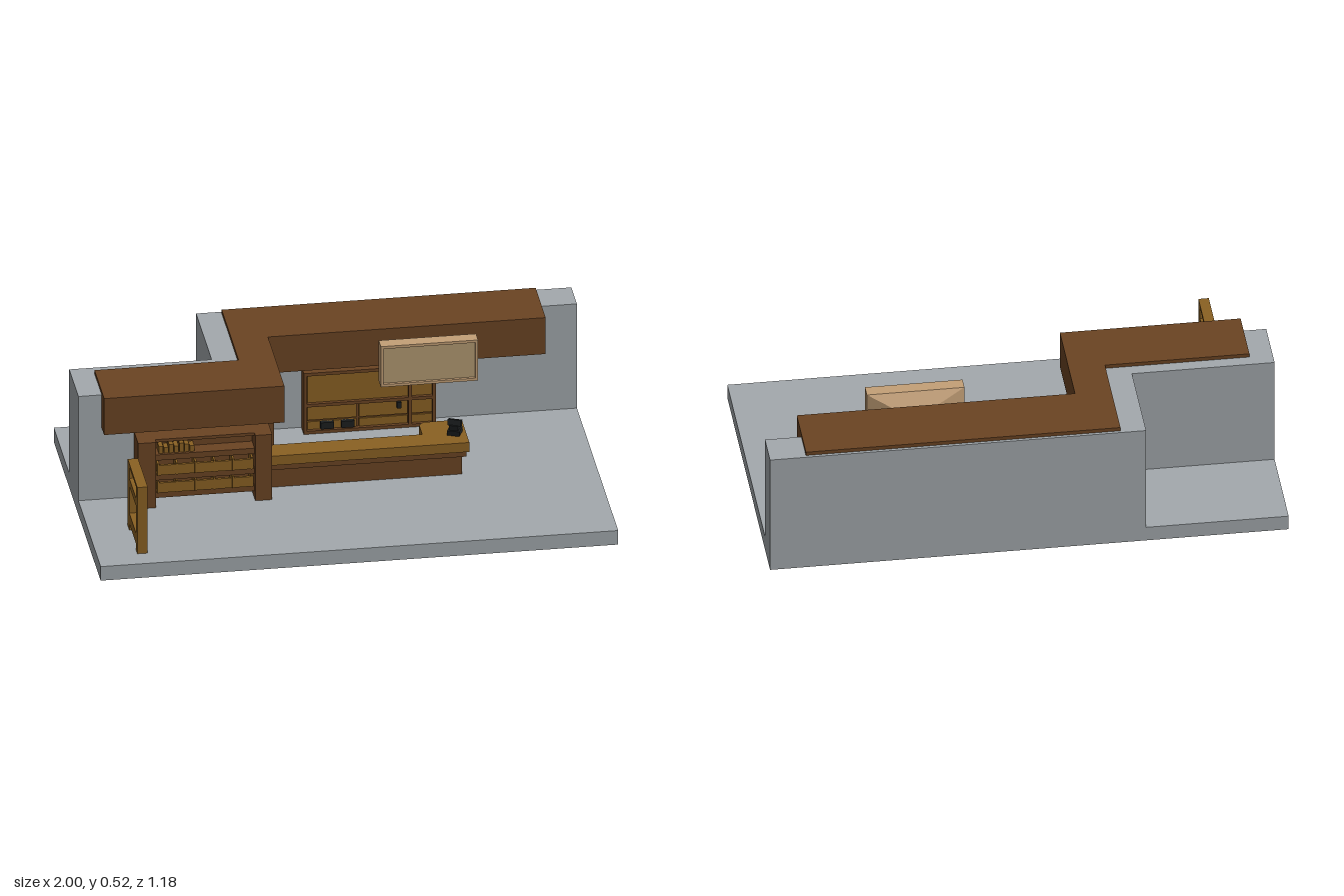
import * as THREE from 'three';

const mat = (name, color) => new THREE.MeshStandardMaterial({ name, color });

export function createModel() {
  const stone = mat('stone grey', 0xa3a9ad);
  const brown = mat('dark wood', 0x6b4423);
  const gold = mat('golden wood', 0x8b6123);
  const tan = mat('pale wood', 0xc4a077);
  const panelTan = mat('sign panel', 0xb39a72);
  const black = mat('black metal', 0x1c1f20);

  const model = new THREE.Group();
  model.name = 'shopInterior';
  const group = (name) => {
    const g = new THREE.Group();
    g.name = name;
    model.add(g);
    return g;
  };
  // Box given by its limits on each axis
  const box = (parent, name, m, x0, x1, y0, y1, z0, z1) => {
    const mesh = new THREE.Mesh(new THREE.BoxGeometry(x1 - x0, y1 - y0, z1 - z0), m);
    mesh.position.set((x0 + x1) / 2, (y0 + y1) / 2, (z0 + z1) / 2);
    mesh.name = name;
    parent.add(mesh);
    return mesh;
  };
  // Slab with a plan outline of [x, z] points
  const slab = (parent, name, m, plan, y0, y1) => {
    const shape = new THREE.Shape(plan.map(([x, z]) => new THREE.Vector2(x, -z)));
    const geo = new THREE.ExtrudeGeometry(shape, { depth: y1 - y0, bevelEnabled: false });
    geo.rotateX(-Math.PI / 2).translate(0, y0, 0);
    const mesh = new THREE.Mesh(geo, m);
    mesh.name = name;
    parent.add(mesh);
  };
  // Tapered block along z between two rectangles [x0, x1, y0, y1]
  const taper = (parent, name, m, front, zf, back, zb) => {
    const geo = new THREE.BoxGeometry(1, 1, 1).toNonIndexed();
    const p = geo.attributes.position;
    for (let i = 0; i < p.count; i++) {
      const isFront = p.getZ(i) > 0;
      const r = isFront ? front : back;
      p.setXYZ(i, p.getX(i) < 0 ? r[0] : r[1], p.getY(i) < 0 ? r[2] : r[3], isFront ? zf : zb);
    }
    geo.computeVertexNormals();
    const mesh = new THREE.Mesh(geo, m);
    mesh.name = name;
    parent.add(mesh);
  };

  // Floor and stepped wall
  const room = group('room');
  box(room, 'floor', stone, -1, 1, 0, 0.06, -0.59, 0.59);
  slab(room, 'wall', stone, [[-1, 0.03], [-0.29, 0.03], [-0.29, -0.45], [1, -0.45],
    [1, -0.59], [-0.45, -0.59], [-0.45, -0.2], [-1, -0.2]], 0.06, 0.507);

  // Stepped overhead beam
  slab(model, 'overheadBeam', brown, [[-0.91, 0.092], [-0.213, 0.092], [-0.213, -0.325], [0.86, -0.325],
    [0.86, -0.578], [-0.353, -0.578], [-0.353, -0.15], [-0.91, -0.15]], 0.366, 0.522);

  // Shelf unit
  const shelf = group('shelfUnit');
  box(shelf, 'leftColumn', brown, -0.785, -0.715, 0.06, 0.34, 0.035, 0.133);
  box(shelf, 'rightColumn', brown, -0.332, -0.267, 0.06, 0.34, 0.035, 0.133);
  box(shelf, 'backPanel', brown, -0.715, -0.332, 0.09, 0.34, 0.035, 0.05);
  box(shelf, 'topBoard', brown, -0.715, -0.332, 0.328, 0.34, 0.035, 0.11);
  for (const y of [0.09, 0.165, 0.25]) box(shelf, 'board', brown, -0.715, -0.332, y, y + 0.024, 0.05, 0.11);
  for (const y of [0.115, 0.19]) {
    box(shelf, 'crateFloor', gold, -0.71, -0.337, y, y + 0.008, 0.05, 0.118);
    box(shelf, 'crateFront', gold, -0.71, -0.337, y, y + 0.042, 0.108, 0.118);
    for (let i = 0; i < 6; i++) {
      const x = -0.709 + i * 0.0725;
      box(shelf, 'crateDivider', gold, x, x + 0.008, y, y + 0.05, 0.05, 0.121);
    }
  }
  // Goods on the upper board
  [0.03, 0.024, 0.036, 0.028, 0.038, 0.033, 0.025].forEach((h, i) => {
    const x = -0.7 + i * 0.02;
    box(shelf, 'goods', gold, x, x + 0.017, 0.274, 0.274 + h, 0.06, 0.1);
  });

  // Door on the side wall
  const door = group('door');
  box(door, 'doorLeaf', gold, -0.29, -0.25, 0.06, 0.285, -0.278, -0.075);
  box(door, 'frontPost', brown, -0.29, -0.23, 0.06, 0.305, -0.077, -0.063);
  box(door, 'backPost', brown, -0.29, -0.23, 0.06, 0.305, -0.292, -0.277);
  box(door, 'lintel', brown, -0.29, -0.23, 0.283, 0.305, -0.277, -0.077);

  // L-shaped counter
  const counter = group('counter');
  slab(counter, 'base', brown, [[-0.29, 0.03], [0.482, 0.03], [0.482, -0.117],
    [0.37, -0.117], [0.37, -0.025], [-0.29, -0.025]], 0.06, 0.142);
  slab(counter, 'trim', brown, [[-0.29, 0.043], [0.498, 0.043], [0.498, -0.13],
    [0.35, -0.13], [0.35, -0.038], [-0.29, -0.038]], 0.14, 0.165);
  slab(counter, 'top', gold, [[-0.29, 0.05], [0.508, 0.05], [0.508, -0.132], [0.485, -0.145],
    [0.36, -0.145], [0.34, -0.125], [0.34, -0.045], [-0.29, -0.045]], 0.163, 0.203);

  // Till
  const till = group('till');
  box(till, 'tillBase', black, -0.024, 0.024, 0, 0.02, -0.026, 0.026);
  box(till, 'tillBody', black, -0.018, 0.018, 0.02, 0.04, -0.02, 0.02);
  box(till, 'tillScreen', black, -0.026, 0.026, 0.034, 0.058, -0.01, 0.012).rotation.x = -0.3;
  till.position.set(0.465, 0.203, -0.037);
  till.rotation.y = -0.4;

  // Back cabinet
  const cabinet = group('backCabinet');
  box(cabinet, 'carcass', brown, -0.06, 0.44, 0.06, 0.315, -0.45, -0.405);
  for (const x of [-0.065, 0.34, 0.433]) box(cabinet, 'post', brown, x, x + 0.013, 0.06, 0.32, -0.45, -0.388);
  for (const y of [0.06, 0.175, 0.308]) box(cabinet, 'rail', brown, -0.065, 0.446, y, y + 0.013, -0.45, -0.388);
  for (const [x0, x1] of [[-0.05, 0.34], [0.355, 0.432]]) {
    box(cabinet, 'upperPanel', gold, x0, x1, 0.19, 0.307, -0.406, -0.398);
  }
  for (const [x0, x1] of [[-0.05, 0.14], [0.15, 0.338], [0.355, 0.432]]) {
    box(cabinet, 'lowerPanel', gold, x0, x1, 0.115, 0.173, -0.406, -0.398);
    box(cabinet, 'bottomPanel', gold, x0, x1, 0.075, 0.108, -0.406, -0.398);
  }
  for (const x of [0, 0.08]) box(cabinet, 'handle', black, x, x + 0.05, 0.08, 0.108, -0.4, -0.382);
  box(cabinet, 'latch', black, 0.295, 0.312, 0.145, 0.17, -0.4, -0.386);

  // Hanging sign with tapered back and bracket
  const sign = group('hangingSign');
  box(sign, 'signBody', tan, 0.21, 0.565, 0.362, 0.515, -0.228, -0.188);
  box(sign, 'signPanel', panelTan, 0.21, 0.565, 0.362, 0.515, -0.188, -0.184);
  for (const x of [0.2, 0.565]) box(sign, 'sideFrame', tan, x, x + 0.011, 0.35, 0.524, -0.228, -0.175);
  for (const y of [0.35, 0.513]) box(sign, 'endFrame', tan, 0.211, 0.565, y, y + 0.011, -0.228, -0.175);
  taper(sign, 'taperedBack', tan, [0.2, 0.576, 0.35, 0.524], -0.228, [0.335, 0.455, 0.385, 0.46], -0.266);
  taper(sign, 'arm', tan, [0.342, 0.448, 0.387, 0.455], -0.266, [0.342, 0.448, 0.37, 0.432], -0.31);
  box(sign, 'wallPlate', tan, 0.322, 0.468, 0.368, 0.435, -0.326, -0.31);

  // Free-standing rack
  const rack = group('standingRack');
  for (const z of [0.262, 0.465]) box(rack, 'post', gold, -0.845, -0.805, 0.06, 0.344, z, z + 0.04);
  for (const [y0, y1] of [[0.086, 0.132], [0.248, 0.281], [0.33, 0.344]]) {
    box(rack, 'crossbar', gold, -0.845, -0.805, y0, y1, 0.302, 0.465);
  }
  return model;
}
